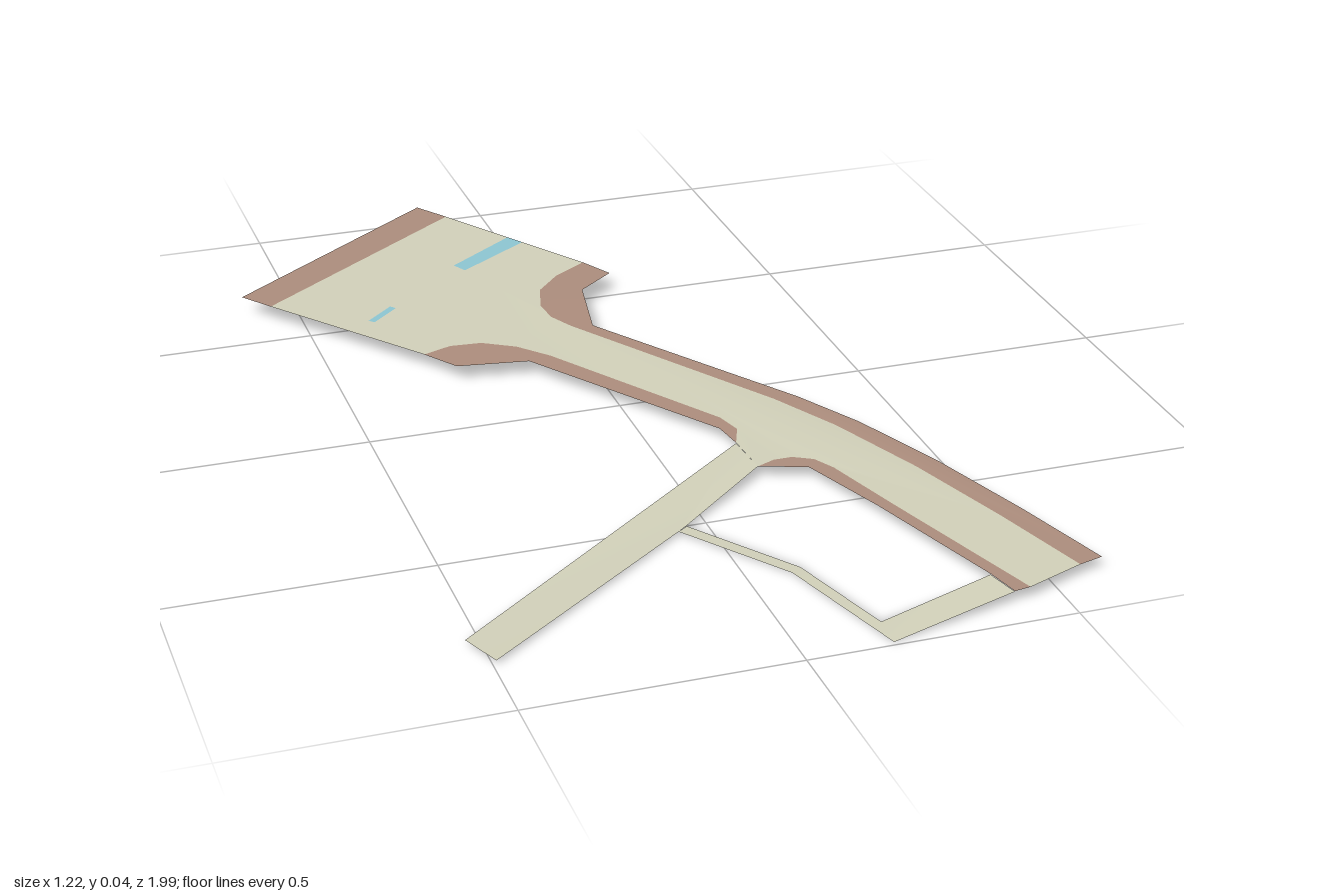
import * as THREE from 'three';

// piecewise-linear profile: [[position, height], ...]
function profile(stops) {
  return (t) => {
    if (t <= stops[0][0]) return stops[0][1];
    for (let i = 1; i < stops.length; i++) {
      const [a, ya] = stops[i - 1], [b, yb] = stops[i];
      if (t <= b) return ya + ((yb - ya) * (t - a)) / (b - a);
    }
    return stops[stops.length - 1][1];
  };
}

const alongStreet = profile([[-1, 0.04], [-0.6, 0.038], [-0.3, 0.035], [0, 0.028], [0.3, 0.022], [0.9, 0.022]]);
const alongLane = profile([[-0.53, 0.008], [-0.05, 0.006], [0.145, 0.022]]);
const alongPath = profile([[-0.06, 0.006], [0.1, 0.001], [0.17, 0], [0.4, 0.021]]);

const streetHeight = (x, z) => alongStreet(z);
const laneHeight = (x) => alongLane(x);
const pathHeight = (x) => alongPath(x);

const paving = (color) => new THREE.MeshStandardMaterial({ color, side: THREE.DoubleSide });
const toVectors = (points) => points.map(([x, z]) => new THREE.Vector2(x, -z));

// thin ground surface from a plan outline in [x, z], draped over a height rule
function surface(name, outline, material, height, holes = []) {
  const shape = new THREE.Shape(toVectors(outline));
  for (const hole of holes) shape.holes.push(new THREE.Path(toVectors(hole)));
  const geometry = new THREE.ShapeGeometry(shape).rotateX(-Math.PI / 2);
  const p = geometry.attributes.position;
  for (let i = 0; i < p.count; i++) p.setY(i, height(p.getX(i), p.getZ(i)));
  geometry.computeVertexNormals();
  const mesh = new THREE.Mesh(geometry, material);
  mesh.name = name;
  return mesh;
}

export function createModel() {
  const group = new THREE.Group();
  group.name = 'streetPlan';
  const road = paving(0xd0cfb8);
  const walk = paving(0xab8c7c);
  const blue = paving(0x8cc4d0);

  // kerb lines shared by roadway and sidewalks
  const rightKerb = [[0.114, -0.6], [0.04, -0.552], [-0.013, -0.494], [-0.034, -0.42], [-0.029, -0.362], [-0.003, -0.309],
    [0.277, 0.114], [0.351, 0.251], [0.43, 0.452], [0.499, 0.674], [0.557, 0.882]];
  const rightEdge = [[0.151, -0.531], [0.071, -0.468], [0.04, -0.298], [0.325, 0.119], [0.399, 0.251],
    [0.478, 0.446], [0.547, 0.663], [0.605, 0.869]];
  const leftKerb = [[-0.32, -0.272], [-0.261, -0.293], [-0.198, -0.288], [-0.135, -0.251], [-0.082, -0.193],
    [0.151, 0.156], [0.166, 0.209], [0.145, 0.261]];
  const leftEdge = [[-0.272, -0.203], [-0.129, -0.182], [0.135, 0.198]];
  const cornerKerb = [[0.151, 0.362], [0.188, 0.346], [0.225, 0.346], [0.261, 0.367], [0.283, 0.409],
    [0.335, 0.584], [0.441, 0.927]];
  const cornerEdge = [[0.24, 0.394], [0.304, 0.573], [0.394, 0.864], [0.409, 0.932]];
  const backKerb = [[-0.563, -0.584], [-0.098, -0.927]];

  // blue strips let into the plaza
  const wideStrip = [[-0.001, -0.777], [-0.151, -0.668], [-0.135, -0.637], [0.022, -0.742]];
  const smallStrip = [[-0.388, -0.457], [-0.33, -0.51], [-0.32, -0.499], [-0.378, -0.446]];

  // plaza and main street
  group.add(surface('mainRoadway',
    [...backKerb, ...wideStrip, ...rightKerb, ...[...cornerKerb].reverse(), ...[...leftKerb].reverse()],
    road, streetHeight, [smallStrip]));
  group.add(surface('wideBlueStrip', wideStrip, blue, streetHeight));
  group.add(surface('smallBlueStrip', smallStrip, blue, streetHeight));

  // sidewalks
  group.add(surface('backSidewalk', [[-0.61, -0.647], [-0.145, -0.996], ...[...backKerb].reverse()], walk, streetHeight));
  const sidewalks = { right: [rightKerb, rightEdge], left: [leftKerb, leftEdge], corner: [cornerKerb, cornerEdge] };
  for (const [side, [kerb, edge]] of Object.entries(sidewalks)) {
    group.add(surface(`${side}Sidewalk`, [...kerb, ...[...edge].reverse()], walk, streetHeight));
  }

  // side lane and the narrow path linking it to the street's end
  group.add(surface('sideLane',
    [[0.145, 0.261], [-0.04, 0.402], [-0.526, 0.774], [-0.494, 0.853], [-0.061, 0.526], [-0.04, 0.51], [0.151, 0.362]],
    road, laneHeight));
  group.add(surface('narrowPath',
    [[-0.061, 0.526], [0.082, 0.721], [0.161, 0.991], [0.409, 0.932], [0.394, 0.864], [0.166, 0.922], [0.103, 0.705], [-0.04, 0.51]],
    road, pathHeight));

  return group;
}
